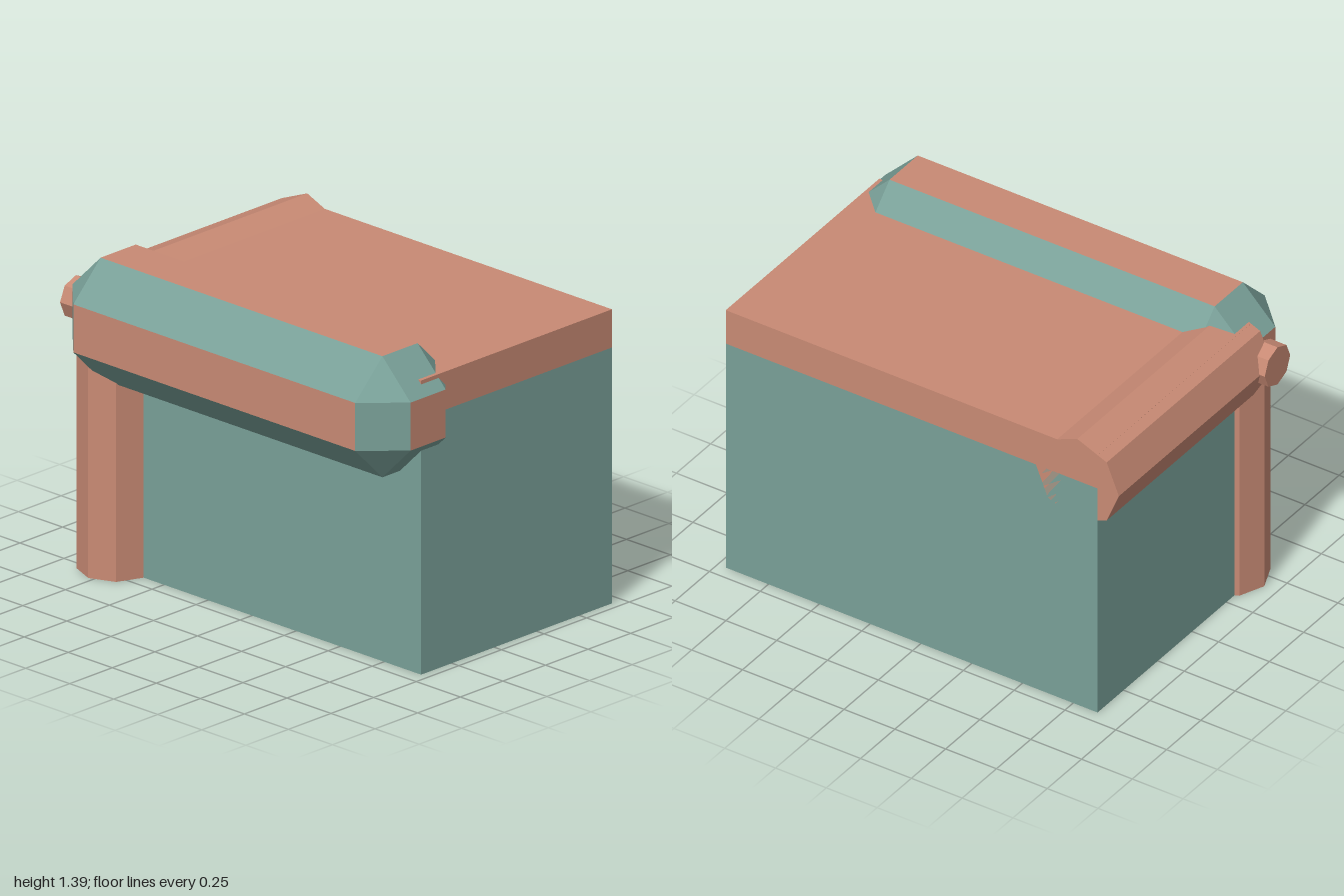
import * as THREE from 'three';
import { ConvexGeometry } from 'three/addons/geometries/ConvexGeometry.js';

const clay = new THREE.MeshStandardMaterial({ color: 0xc88a74 });
clay.name = 'clay';
const teal = new THREE.MeshStandardMaterial({ color: 0x79a098 });
teal.name = 'teal';

// Box given by its min and max corners
function box(name, material, min, max) {
  const size = max.map((v, i) => v - min[i]);
  const mesh = new THREE.Mesh(new THREE.BoxGeometry(...size), material);
  mesh.position.set(...max.map((v, i) => (v + min[i]) / 2));
  mesh.name = name;
  return mesh;
}

// Faceted octagonal beam between two points
function beam(name, radius, from, to) {
  const a = new THREE.Vector3(...from);
  const b = new THREE.Vector3(...to);
  const dir = b.clone().sub(a);
  const geo = new THREE.CylinderGeometry(radius, radius, dir.length(), 8).toNonIndexed();
  geo.computeVertexNormals();
  const mesh = new THREE.Mesh(geo, clay);
  mesh.quaternion.setFromUnitVectors(new THREE.Vector3(0, 1, 0), dir.normalize());
  mesh.position.copy(a.add(b).multiplyScalar(0.5));
  mesh.name = name;
  return mesh;
}

// Bevelled bar: flat sides in clay, bevels and corner triangles in teal
function bevelledBar(name, half, bevel) {
  const points = [];
  for (const sx of [-1, 1]) for (const sy of [-1, 1]) for (const sz of [-1, 1]) {
    const s = [sx, sy, sz];
    for (let outer = 0; outer < 3; outer++) {
      points.push(new THREE.Vector3(...half.map((h, i) => s[i] * (i === outer ? h : h - bevel))));
    }
  }
  const geo = new ConvexGeometry(points);
  const n = geo.attributes.normal;
  for (let i = 0; i < n.count; i += 3) {
    const flat = Math.max(Math.abs(n.getX(i)), Math.abs(n.getY(i)), Math.abs(n.getZ(i))) > 0.99;
    geo.addGroup(i, 3, flat ? 0 : 1);
  }
  const mesh = new THREE.Mesh(geo, [clay, teal]);
  mesh.name = name;
  return mesh;
}

export function createModel() {
  const model = new THREE.Group();
  model.name = 'blockWithBeams';

  // Main block and its top slab
  model.add(box('block', teal, [-0.43, 0, -0.87], [0.69, 1.12, 0.96]));
  model.add(box('topSlab', clay, [-0.43, 1.12, -0.87], [0.69, 1.287, 0.96]));

  // Octagonal beams meeting at the back corner
  model.add(beam('backBeam', 0.205, [-0.43, 1.123, -0.77], [0.69, 1.123, -0.77]));
  model.add(beam('cornerPost', 0.16, [-0.43, 0, -0.775], [-0.43, 1.12, -0.775]));
  model.add(beam('cornerPeg', 0.093, [-0.43, 1.127, -1], [-0.43, 1.127, -0.6]));

  // Bevelled bar along the side edge
  const bar = bevelledBar('sideBar', [0.263, 0.265, 0.96], 0.16);
  bar.position.set(-0.43, 1.125, 0.04);
  model.add(bar);

  return model;
}
